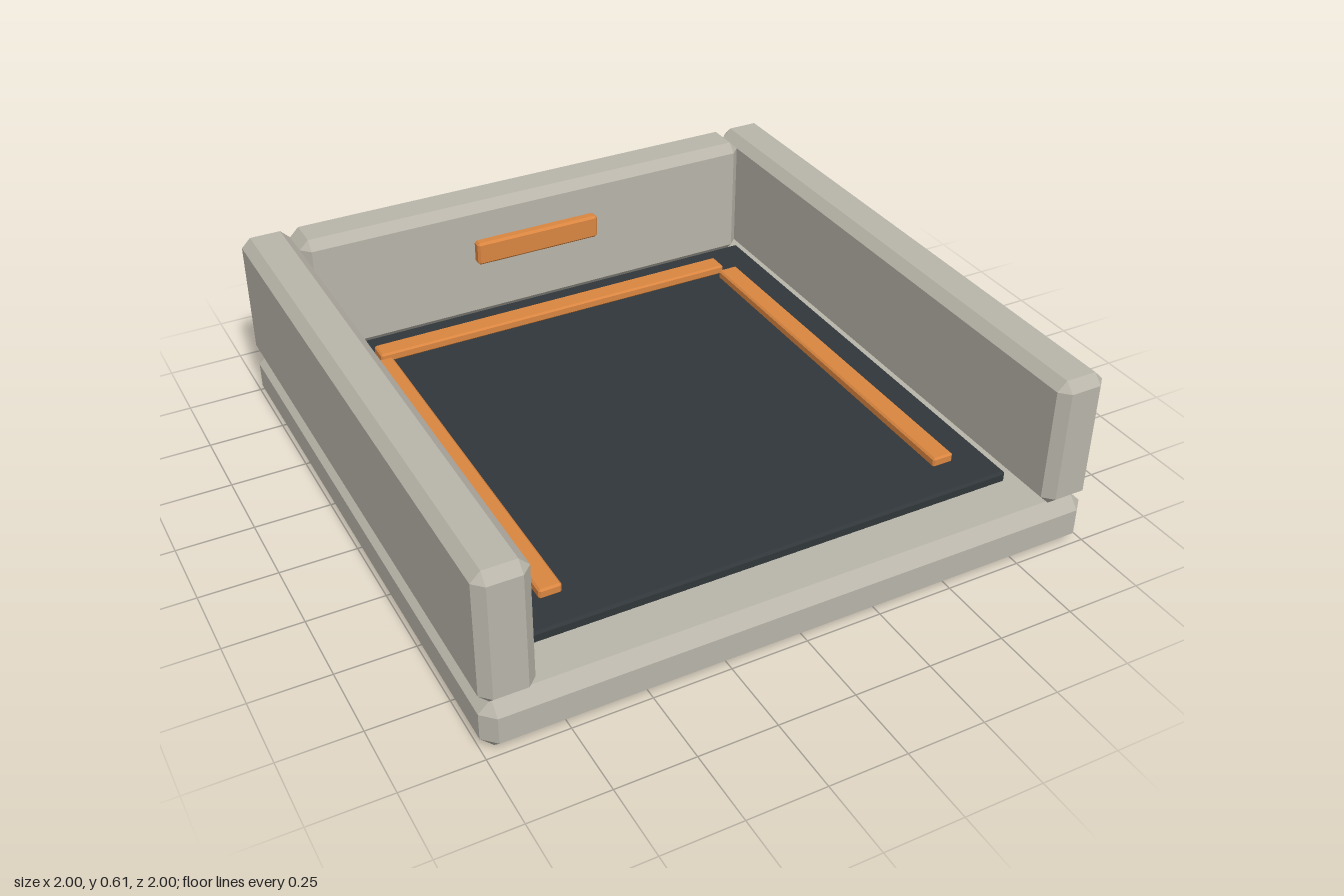
import * as THREE from 'three';
import { ConvexGeometry } from 'three/addons/geometries/ConvexGeometry.js';

const stone = new THREE.MeshStandardMaterial({ color: 0xb8b4a9, flatShading: true });
const dark = new THREE.MeshStandardMaterial({ color: 0x30363a, flatShading: true });
const orange = new THREE.MeshStandardMaterial({ color: 0xd98540, flatShading: true });

// Box between two corners with every edge cut by a flat bevel c
function bevelBox(name, material, [x0, y0, z0], [x1, y1, z1], c) {
  const h = [(x1 - x0) / 2, (y1 - y0) / 2, (z1 - z0) / 2];
  const points = [];
  for (const sx of [-1, 1]) for (const sy of [-1, 1]) for (const sz of [-1, 1])
    for (let axis = 0; axis < 3; axis++) {
      // one corner of the face on this axis, pulled in along the other two
      const p = [sx, sy, sz].map((s, i) => s * (i === axis ? h[i] : h[i] - c));
      points.push(new THREE.Vector3(...p));
    }
  const mesh = new THREE.Mesh(new ConvexGeometry(points), material);
  mesh.name = name;
  mesh.position.set((x0 + x1) / 2, (y0 + y1) / 2, (z0 + z1) / 2);
  return mesh;
}

export function createModel() {
  const model = new THREE.Group();
  model.name = 'walledPlatform';

  // Slab and the inset floor panel
  model.add(bevelBox('base', stone, [-1, 0, -1], [1, 0.168, 1], 0.04));
  model.add(bevelBox('floorPanel', dark, [-0.82, 0.165, -0.822], [0.82, 0.205, 0.82], 0.008));

  // Back wall with its marker bar
  model.add(bevelBox('backWall', stone, [-0.835, 0.17, -1], [0.835, 0.61, -0.835], 0.031));
  model.add(bevelBox('wallBar', orange, [-0.23, 0.393, -0.842], [0.23, 0.477, -0.802], 0.008));

  // Side walls and side floor strips, mirrored
  for (const [side, s] of [['left', 1], ['right', -1]]) {
    const span = (a, b) => (s > 0 ? [a, b] : [-b, -a]);
    const [w0, w1] = span(0.835, 1);
    model.add(bevelBox(side + 'Wall', stone, [w0, 0.17, -1], [w1, 0.61, 1], 0.031));
    const [t0, t1] = span(0.63, 0.702);
    model.add(bevelBox(side + 'FloorStrip', orange, [t0, 0.207, -0.625], [t1, 0.24, 0.704], 0.006));
  }

  // Floor strip along the back
  model.add(bevelBox('backFloorStrip', orange, [-0.662, 0.207, -0.718], [0.662, 0.24, -0.646], 0.006));
  return model;
}
